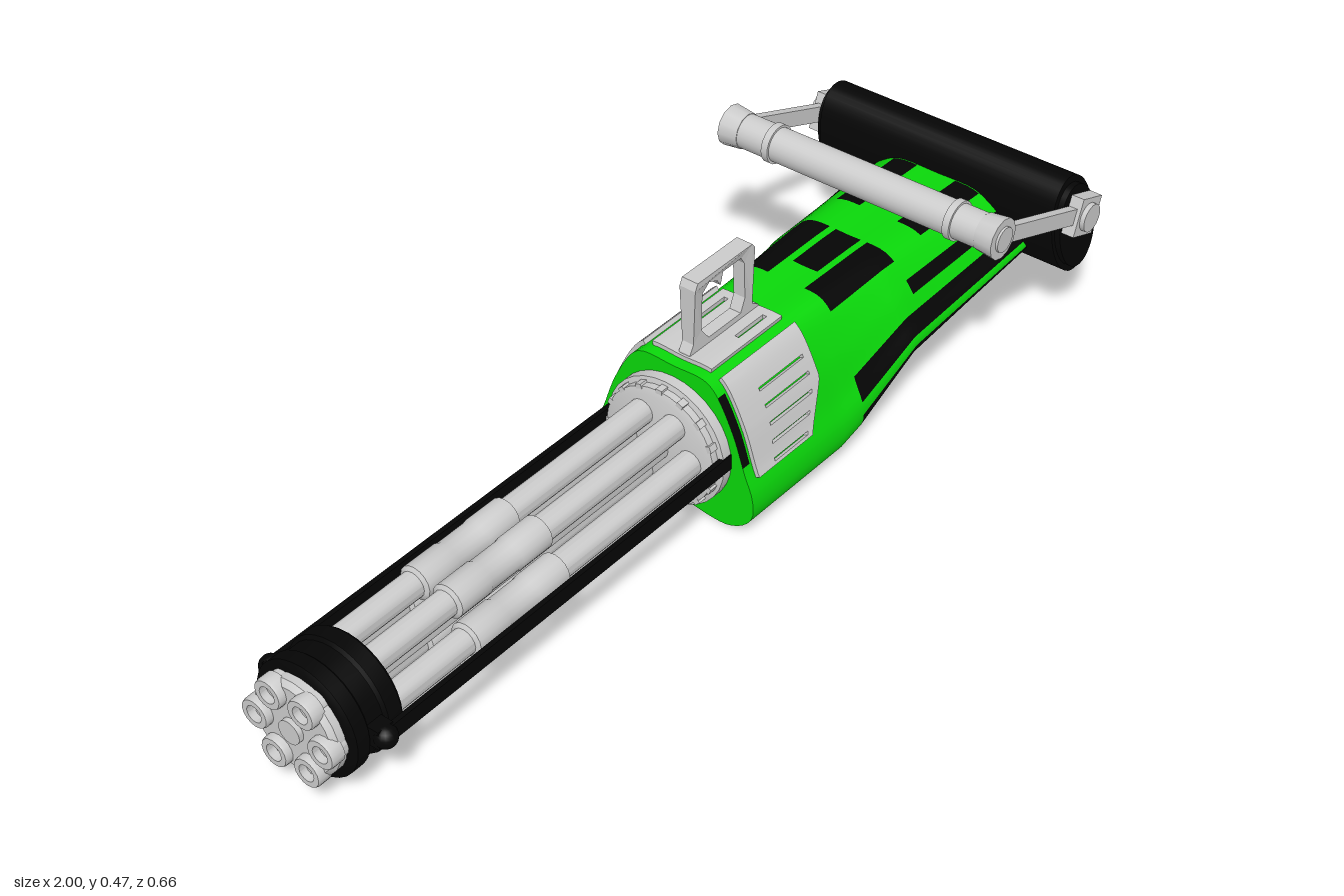
import * as THREE from 'three';
import { toCreasedNormals } from 'three/addons/utils/BufferGeometryUtils.js';

const grey = new THREE.MeshStandardMaterial({ color: 0xcccccc });
const greyThin = new THREE.MeshStandardMaterial({ color: 0xcccccc, side: THREE.DoubleSide });
const green = new THREE.MeshStandardMaterial({ color: 0x0ad80a });
const black = new THREE.MeshStandardMaterial({ color: 0x050505 });
const AXIS_Y = 0.15, AXIS_Z = 0.008;

// Half cross-section of the housing (z, y) from top centre to bottom centre
const half = new THREE.CatmullRomCurve3([
  [0, 0.31], [0.075, 0.31], [0.1, 0.295], [0.145, 0.22], [0.175, 0.14], [0.195, 0.09],
  [0.195, 0.045], [0.172, 0.018], [0.136, 0.002], [0.1, 0.001], [0, 0.015],
].map(([z, y]) => new THREE.Vector3(0, y, z)));

// Housing stations: x, bottom, top, width scale
const stations = [
  [0, 0, 0.31, 0.95], [0.28, 0, 0.31, 0.96], [0.34, 0.02, 0.31, 0.97],
  [0.5, 0.115, 0.31, 1], [0.86, 0.165, 0.297, 1.04], [0.92, 0.175, 0.29, 1.04],
];

// Point on the housing: t = 0 top, +1 bottom by the +z side, -1 bottom by the -z side
function surface(x, t, offset = 0) {
  let k = 0;
  while (k < stations.length - 2 && x > stations[k + 1][0]) k++;
  const a = stations[k], b = stations[k + 1], f = (x - a[0]) / (b[0] - a[0]);
  const [, lo, hi, w] = a.map((v, i) => v + (b[i] - v) * f);
  const u = Math.min(1, Math.abs(t)), s = t < 0 ? -1 : 1;
  const p = half.getPointAt(u), d = half.getTangentAt(u);
  const y = lo + (p.y / 0.31) * (hi - lo) + d.z * offset;
  return [x, y, AXIS_Z + s * (p.z * w - d.y * offset)];
}

// Dark camouflage patches: x from, x to, t from, t to
const mirroredPatches = [
  [0.34, 0.54, 0.075, 0.2], [0.64, 0.84, 0.075, 0.175], [0.54, 0.86, 0.3, 0.375],
  [0.34, 0.88, 0.45, 0.55], [0.46, 0.88, 0.6, 0.675],
  [0, 0.02, 0.2, 0.45], [0.14, 0.3, 0.7, 0.8],
];
const singlePatches = [
  [0.4, 0.54, -0.05, 0.05], [0.34, 0.5, 0.6, 0.875], [0.34, 0.48, -0.975, -0.85],
  [0.48, 0.5, -0.95, -0.62], [0, 0.04, 0.75, 0.95],
];
const inside = (x, t) => ([x0, x1, t0, t1]) => x > x0 && x < x1 && t > t0 && t < t1;
const isDark = (x, t) => mirroredPatches.some(inside(x, Math.abs(t))) || singlePatches.some(inside(x, t));

function add(parent, name, geo, mat, x = 0, y = 0, z = 0) {
  const m = new THREE.Mesh(geo, mat);
  m.name = name;
  m.position.set(x, y, z);
  parent.add(m);
  return m;
}

// Turned part along x, profile given as [radius, x]
function turned(profile, sides = 24) {
  const g = new THREE.LatheGeometry(profile.map(([r, h]) => new THREE.Vector2(r, h)), sides);
  return toCreasedNormals(g.rotateZ(-Math.PI / 2), 0.6);
}
const cylZ = (r0, r1, len, sides = 24) => new THREE.CylinderGeometry(r0, r1, len, sides).rotateX(Math.PI / 2);

function buildHousing(parent) {
  const nx = 46, nt = 80, pos = [], lists = { green: [], dark: [] }, all = [];
  for (let i = 0; i <= nx; i++) for (let j = 0; j <= nt; j++) pos.push(...surface(i * 0.02, (j / nt) * 2 - 1));
  for (let i = 0; i < nx; i++) for (let j = 0; j < nt; j++) {
    const a = i * (nt + 1) + j, c = a + nt + 1, quad = [a, a + 1, c + 1, a, c + 1, c];
    all.push(...quad);
    lists[isDark((i + 0.5) * 0.02, ((j + 0.5) / nt) * 2 - 1) ? 'dark' : 'green'].push(...quad);
  }
  const base = new THREE.BufferGeometry();
  base.setAttribute('position', new THREE.Float32BufferAttribute(pos, 3));
  base.setIndex(all);
  base.computeVertexNormals();
  for (const key of ['green', 'dark']) {
    const g = base.clone();
    g.setIndex(lists[key]);
    add(parent, key === 'dark' ? 'housingCamouflage' : 'housingShell', g, key === 'dark' ? black : green);
  }
  // flat front wall
  const outline = [];
  for (let j = 0; j < nt; j++) {
    const p = surface(0, (j / nt) * 2 - 1);
    outline.push(new THREE.Vector2(p[2], p[1]));
  }
  add(parent, 'housingFront', new THREE.ShapeGeometry(new THREE.Shape(outline)).rotateY(-Math.PI / 2), green);
}

// Raised plate that follows the housing, with slots cut as missing cells
function plate(t0, t1, nx, nt, x0, xEnd, keep, off = 0.009) {
  const pos = [];
  const has = (i, j) => i >= 0 && j >= 0 && i < nx && j < nt && keep(i, j);
  const pt = (i, j, o) => {
    const f = j / nt;
    return surface(x0 + (xEnd(f) - x0) * (i / nx), t0 + (t1 - t0) * f, o);
  };
  const quad = (a, b, c, d) => pos.push(...a, ...b, ...c, ...a, ...c, ...d);
  const wall = (a, b) => quad(pt(...a, off), pt(...b, off), pt(...b, -0.002), pt(...a, -0.002));
  for (let i = 0; i < nx; i++) for (let j = 0; j < nt; j++) {
    if (!has(i, j)) continue;
    const c = [pt(i, j, off), pt(i, j + 1, off), pt(i + 1, j + 1, off), pt(i + 1, j, off)];
    if (t1 < t0) c.reverse();
    quad(...c);
    if (!has(i - 1, j)) wall([i, j], [i, j + 1]);
    if (!has(i + 1, j)) wall([i + 1, j], [i + 1, j + 1]);
    if (!has(i, j - 1)) wall([i, j], [i + 1, j]);
    if (!has(i, j + 1)) wall([i, j + 1], [i + 1, j + 1]);
  }
  const g = new THREE.BufferGeometry();
  g.setAttribute('position', new THREE.Float32BufferAttribute(pos, 3));
  g.computeVertexNormals();
  return toCreasedNormals(g, 0.6);
}

export function createModel() {
  const model = new THREE.Group();
  model.name = 'rotaryGun';

  buildHousing(model);

  // Slotted cover plates on the shoulders and top
  const slots = (i, j) => !(j % 5 === 3 && j > 5 && i > 2 && i < 9);
  for (const s of [-1, 1]) {
    add(model, 'sidePlate', plate(s * 0.155, s * 0.505, 10, 30, 0.025, f => (f < 0.55 ? 0.245 : 0.245 - (f - 0.55) * 0.13), slots), greyThin);
  }
  add(model, 'topPlate', plate(-0.12, 0.12, 10, 15, 0.025, () => 0.235,
    (i, j) => !((j === 2 || j === 12) && i > 4 && i < 9)), greyThin);

  // Carrying handle with trigger nub
  const frame = new THREE.Shape([
    [0.03, 0.3], [0.03, 0.322], [0.04, 0.34], [0.038, 0.46], [0.045, 0.475], [0.205, 0.475], [0.213, 0.465],
    [0.215, 0.335], [0.235, 0.322], [0.235, 0.3],
  ].map(p => new THREE.Vector2(...p)));
  frame.holes.push(new THREE.Path([
    [0.085, 0.332], [0.18, 0.332], [0.192, 0.36], [0.188, 0.44], [0.178, 0.456], [0.125, 0.456],
    [0.118, 0.43], [0.108, 0.445], [0.085, 0.455], [0.065, 0.44], [0.063, 0.36],
  ].map(p => new THREE.Vector2(...p))));
  const handle = new THREE.ExtrudeGeometry(frame, { depth: 0.036, bevelEnabled: false }).translate(0, 0, -0.018);
  const hp = handle.attributes.position;
  for (let i = 0; i < hp.count; i++) if (hp.getY(i) < 0.458) hp.setZ(i, hp.getZ(i) * 0.72);
  handle.computeVertexNormals();
  add(model, 'carryHandle', handle, grey, 0, 0, 0.01);

  // Barrel cluster
  const cluster = new THREE.Group();
  cluster.name = 'barrelCluster';
  cluster.position.set(0, AXIS_Y, AXIS_Z);
  model.add(cluster);
  const barrel = turned([
    [0, -0.97], [0.017, -0.97], [0.017, -1], [0.028, -1], [0.03, -0.995], [0.03, -0.972], [0.026, -0.97], [0.026, -0.655],
    [0.034, -0.65], [0.034, -0.575], [0.032, -0.57], [0.032, -0.5], [0.034, -0.495], [0.034, -0.42], [0.026, -0.415], [0.026, 0],
  ], 16);
  for (let k = 0; k < 6; k++) {
    const a = (k * Math.PI) / 3;
    add(cluster, 'barrel', barrel, grey, 0, 0.075 * Math.sin(a), 0.075 * Math.cos(a));
  }
  add(cluster, 'spindle', turned([[0, -0.995], [0.024, -0.995], [0.024, 0]]), grey);
  add(cluster, 'muzzleDisc', turned([[0, -0.985], [0.088, -0.985], [0.097, -0.975], [0.097, -0.94], [0, -0.94]]), grey);
  add(cluster, 'muzzleClamp', turned([
    [0, -0.96], [0.103, -0.96], [0.115, -0.953], [0.115, -0.925], [0.109, -0.92], [0.109, -0.885],
    [0.116, -0.88], [0.116, -0.85], [0.112, -0.845], [0, -0.845],
  ], 32), black);
  add(cluster, 'barrelCollar', turned([
    [0, -0.045], [0.112, -0.045], [0.125, -0.04], [0.125, -0.025], [0.136, -0.022], [0.136, 0.005], [0, 0.005],
  ], 32), grey);
  for (let k = 0; k < 16; k++) {
    const a = (k * Math.PI) / 8;
    add(cluster, 'collarBolt', new THREE.BoxGeometry(0.02, 0.014, 0.014), grey, -0.032, 0.122 * Math.sin(a), 0.122 * Math.cos(a)).rotation.x = -a;
  }

  // Side rods tying the clamp to the housing
  for (const s of [-1, 1]) {
    add(cluster, 'sideRod', new THREE.BoxGeometry(0.92, 0.034, 0.01), black, -0.45, 0.005, s * 0.131);
    add(cluster, 'rodLug', new THREE.SphereGeometry(0.022, 16, 12), black, -0.905, 0.005, s * 0.131);
    add(cluster, 'rodBracket', new THREE.BoxGeometry(0.035, 0.04, 0.04), black, -0.905, 0.005, s * 0.112);
  }

  // Padded oval shoulder rest
  const rest = new THREE.Group();
  rest.name = 'shoulderRest';
  rest.position.set(0.921, 0.25, 0);
  rest.rotation.z = 0.33;
  model.add(rest);
  add(rest, 'restPad', cylZ(1, 1, 0.562, 40).scale(0.071, 0.128, 1), black);
  add(rest, 'restEnds', cylZ(1, 1, 0.587, 40).scale(0.062, 0.11, 1), black);

  // Swinging front grip bar and its arms
  const bar = [0.592, 0.405], pivot = [0.908, 0.29];
  const dx = pivot[0] - bar[0], dy = pivot[1] - bar[1];
  add(model, 'gripBar', cylZ(0.036, 0.036, 0.56), grey, ...bar, 0);
  for (const s of [-1, 1]) {
    add(model, 'gripRing', cylZ(0.041, 0.041, 0.015), grey, ...bar, s * 0.213 + 0.005);
    add(model, 'gripKnuckle', cylZ(s > 0 ? 0.043 : 0.038, s > 0 ? 0.038 : 0.043, 0.042, 12), grey, ...bar, s * 0.3);
    add(model, 'gripCap', cylZ(0.026, 0.026, 0.02, 16), grey, ...bar, s * 0.316);
    // squared hinge block, turned with the arm
    const angle = Math.atan2(dy, dx);
    add(model, 'pivotBlock', new THREE.BoxGeometry(0.075, 0.08, 0.034), grey, ...pivot, s * 0.304).rotation.z = angle;
    add(model, 'pivotCap', cylZ(0.03, 0.03, 0.02, 16), grey, ...pivot, s * 0.321);
    add(model, 'gripArm', new THREE.BoxGeometry(Math.hypot(dx, dy), 0.034, 0.018), grey,
      bar[0] + dx / 2, bar[1] + dy / 2, s * 0.304).rotation.z = angle;
  }
  return model;
}
